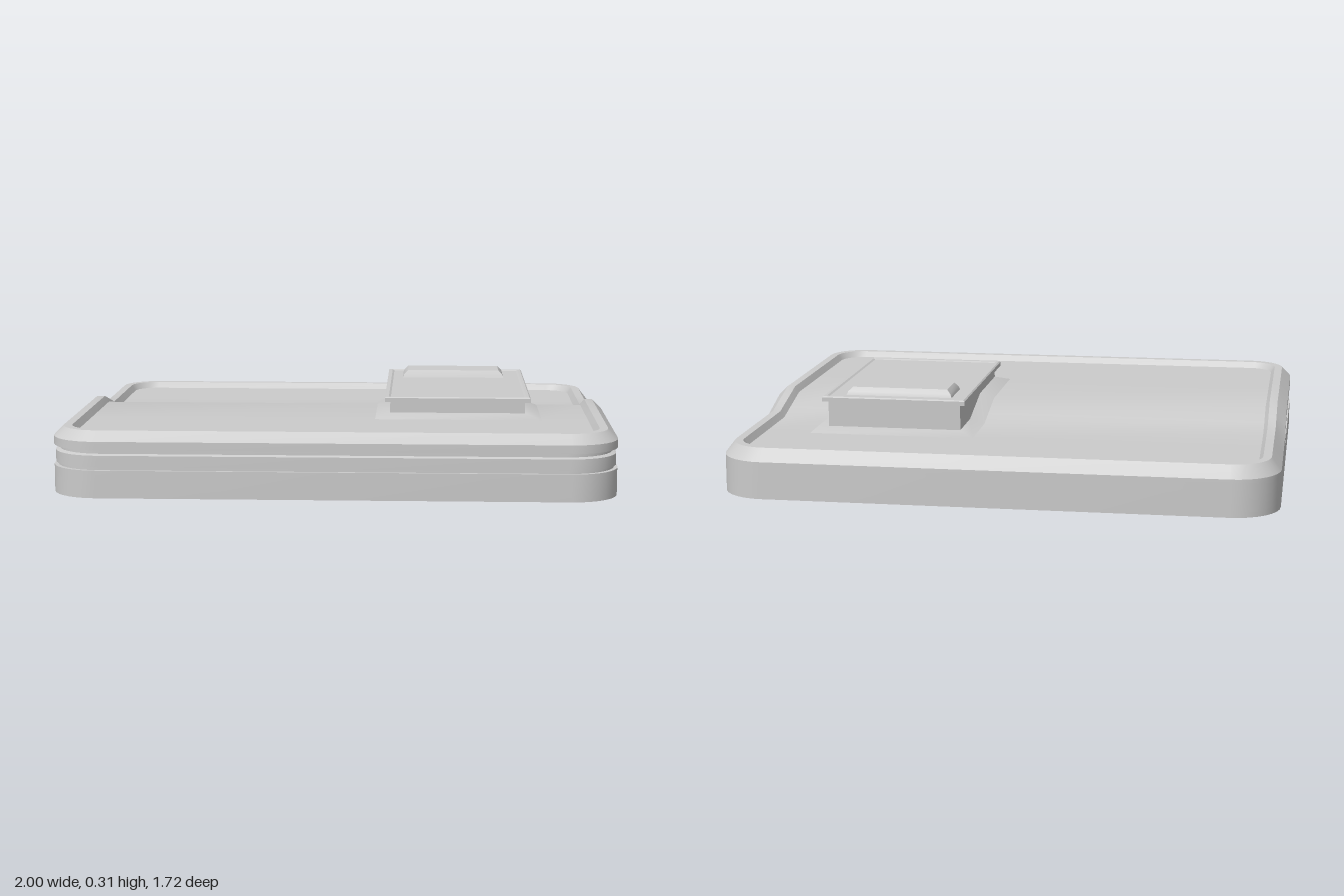
import * as THREE from 'three';
import { toCreasedNormals } from 'three/addons/utils/BufferGeometryUtils.js';

const material = new THREE.MeshStandardMaterial({ color: 0xcccccc, side: THREE.DoubleSide });

// Base flare of the raised housing, also the opening in the panel
const OPEN = { x0: 0.135, x1: 0.75, z0: -0.47, z1: 0.39 };

// Stepped height: high at the front, sloping down between z = 0 and z = -0.22
const stepY = (z, front, back) =>
  THREE.MathUtils.lerp(front, back, THREE.MathUtils.clamp(-z / 0.22, 0, 1));

// Every ring runs front to back on the right, then back to front on the left
function roundedRing(inset, front, back, groove = 0) {
  const side = [];
  const radius = 0.17 - inset, steps = 8;
  const corner = (sign) => {
    for (let i = 0; i <= steps; i++) {
      const a = (sign > 0 ? 1 - i / steps : i / steps) * Math.PI / 2;
      side.push([0.83 + radius * Math.cos(a), sign * (0.69 + radius * Math.sin(a))]);
    }
  };
  corner(1);
  for (const z of [OPEN.z1, 0, -0.13, -0.135, -0.22, OPEN.z0]) side.push([1 - inset, z]);
  corner(-1);
  // The groove runs round the front and stops partway along both sides
  const right = side.map(([x, z]) => {
    const g = z > -0.132 ? groove : 0;
    return [x - g, stepY(z, front, back), z > 0.7 ? z - g : z];
  });
  return [...right, ...right.map(([x, y, z]) => [-x, y, z]).reverse()];
}

// Rectangle with extra points at the bends of the step
function rectRing(x0, x1, z0, z1, front, back = front, bends = [0, -0.22]) {
  const zs = [z1, ...bends, z0];
  return [
    ...zs.map((z) => [x1, stepY(z, front, back), z]),
    ...zs.map((z) => [x0, stepY(z, front, back), z]).reverse(),
  ];
}

function quad(out, a, b, c, d) {
  out.push(...a, ...b, ...c, ...a, ...c, ...d);
}

function makeMesh(name, positions) {
  const geometry = new THREE.BufferGeometry();
  geometry.setAttribute('position', new THREE.Float32BufferAttribute(positions, 3));
  geometry.computeVertexNormals();
  const mesh = new THREE.Mesh(toCreasedNormals(geometry, 0.5), material);
  mesh.name = name;
  return mesh;
}

// Skin a stack of rings
function loft(rings) {
  const out = [];
  for (let k = 0; k < rings.length - 1; k++) {
    const low = rings[k], high = rings[k + 1], n = low.length;
    for (let i = 0; i < n; i++) {
      const j = (i + 1) % n;
      quad(out, low[i], low[j], high[j], high[i]);
    }
  }
  return out;
}

// Fill a ring with strips across x, leaving out an optional rectangular hole
function cap(ring, hole) {
  const out = [], n = ring.length;
  for (let i = 0; i < n / 2 - 1; i++) {
    const r0 = ring[i], r1 = ring[i + 1], l0 = ring[n - 1 - i], l1 = ring[n - 2 - i];
    const mid = (r0[2] + r1[2]) / 2;
    if (hole && mid < hole.z1 && mid > hole.z0) {
      const at = (p, x) => [x, p[1], p[2]];
      quad(out, l0, at(r0, hole.x0), at(r1, hole.x0), l1);
      quad(out, at(r0, hole.x1), r0, r1, at(r1, hole.x1));
    } else {
      quad(out, l0, r0, r1, l1);
    }
  }
  return out;
}

export function createModel() {
  const model = new THREE.Group();
  model.name = 'steppedCover';

  // Outer wall with side band, notch and chamfered rim: inset, front y, back y, groove
  const shell = [
    [0, 0, 0],
    [0, 0.098, 0.098],
    [0, 0.098, 0.0985, 0.012],
    [0, 0.108, 0.0995, 0.012],
    [0, 0.108, 0.1, 0.005],
    [0, 0.15, 0.105, 0.005],
    [0, 0.155, 0.11, 0.018],
    [0, 0.167, 0.115, 0.018],
    [0, 0.17, 0.12],
    [0, 0.2, 0.135],
    [0.035, 0.235, 0.18],
    [0.065, 0.235, 0.18],
    [0.08, 0.212, 0.157],
  ].map((row) => roundedRing(...row));
  model.add(makeMesh('outerShell', loft(shell)));

  // Recessed top panel, open below the housing
  model.add(makeMesh('topPanel', cap(shell[shell.length - 1], OPEN)));

  // Housing: flared foot, straight walls, overhanging lid with a raised edge
  const grown = (d, front, back) =>
    rectRing(0.19 - d, 0.69 + d, -0.42 - d, 0.34 + d, front, back);
  const housing = [
    rectRing(OPEN.x0, OPEN.x1, OPEN.z0, OPEN.z1, 0.212, 0.157),
    grown(0, 0.23, 0.175),
    grown(0, 0.272),
    grown(0.02, 0.272),
    grown(0.02, 0.287),
    grown(0.015, 0.291),
    grown(0.005, 0.291),
    grown(-0.002, 0.287),
  ];
  model.add(makeMesh('housing', [...loft(housing), ...cap(housing[housing.length - 1])]));

  // Small bevelled pad on the lid
  const pad = [
    rectRing(0.23, 0.63, -0.38, -0.21, 0.287, 0.287, []),
    rectRing(0.235, 0.625, -0.375, -0.215, 0.3, 0.3, []),
    rectRing(0.25, 0.61, -0.36, -0.222, 0.315, 0.315, []),
  ];
  model.add(makeMesh('lidPad', [...loft(pad), ...cap(pad[pad.length - 1])]));

  return model;
}
